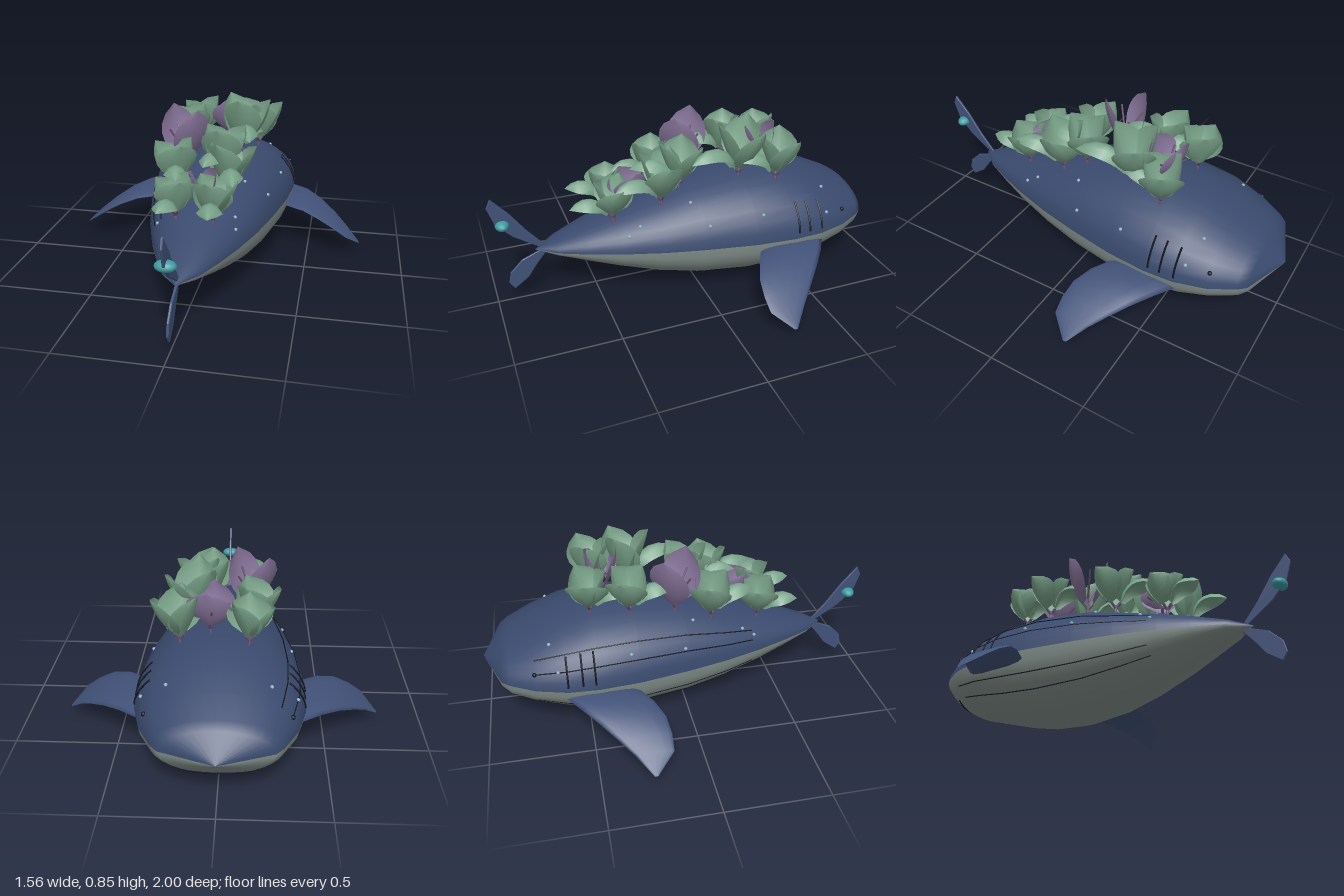
import * as THREE from 'three';

const mat = (color) => new THREE.MeshStandardMaterial({ color, side: THREE.DoubleSide });
const MAT = {
  back: mat(0x3a4a6e), belly: mat(0x84918d), fin: mat(0x425279), dark: mat(0x12141d),
  spot: mat(0x8fb4c4), lure: mat(0x3f9ba3), leaf: mat(0x7aa38a), petal: mat(0x86739a), stem: mat(0x6d5878),
};

// Body stations: z, half width, top y, bottom y
const STATIONS = [
  [-1, 0, 0.28, 0.28], [-0.91, 0.25, 0.39, 0.185], [-0.87, 0.285, 0.415, 0.135], [-0.75, 0.35, 0.47, 0.1],
  [-0.6, 0.39, 0.53, 0.055], [-0.45, 0.395, 0.56, 0.02], [-0.25, 0.375, 0.565, 0], [0, 0.325, 0.53, 0.015],
  [0.2, 0.275, 0.47, 0.06], [0.4, 0.21, 0.41, 0.125], [0.55, 0.15, 0.36, 0.18], [0.69, 0.085, 0.31, 0.23],
  [0.79, 0, 0.265, 0.26],
];

function station(z) {
  let i = 0;
  while (i < STATIONS.length - 2 && z > STATIONS[i + 1][0]) i++;
  const a = STATIONS[i], b = STATIONS[i + 1];
  const t = THREE.MathUtils.clamp((z - a[0]) / (b[0] - a[0]), 0, 1);
  const [, w, top, bottom] = a.map((v, k) => v + (b[k] - v) * t);
  return { w, top, bottom, mid: 0.271 - 0.009 * z };
}

// Point on the skin: angle 0 is the +x seam, PI/2 the spine
function skin(z, angle) {
  const s = station(z), up = Math.sin(angle);
  return new THREE.Vector3(s.w * Math.cos(angle), s.mid + up * (up > 0 ? s.top - s.mid : s.mid - s.bottom), z);
}

// Smooth surface through a grid of points fn(u index, v index)
function grid(nu, nv, fn) {
  const pos = [], index = [];
  for (let j = 0; j <= nv; j++) for (let i = 0; i <= nu; i++) pos.push(...fn(i, j).toArray());
  for (let j = 0; j < nv; j++) for (let i = 0; i < nu; i++) {
    const a = j * (nu + 1) + i, b = a + nu + 1;
    index.push(a, a + 1, b, a + 1, b + 1, b);
  }
  const g = new THREE.BufferGeometry();
  g.setAttribute('position', new THREE.Float32BufferAttribute(pos, 3));
  g.setIndex(index);
  g.computeVertexNormals();
  return g;
}

function add(parent, name, geometry, material) {
  const m = new THREE.Mesh(geometry, material);
  m.name = name;
  parent.add(m);
  return m;
}

const tube = (points, r, n) => new THREE.TubeGeometry(new THREE.CatmullRomCurve3(points), n, r, 5);

// Marking that follows the skin; fn(t) gives [z, angle]
function marking(parent, name, r, n, fn) {
  const pts = [];
  for (let i = 0; i <= n; i++) pts.push(skin(...fn(i / n)));
  add(parent, name, tube(pts, r, n * 2), MAT.dark);
}

// Pectoral fin stations: x, y, leading z, trailing z, half thickness
const FIN = [
  [0.32, 0.225, -0.64, -0.32, 0.022], [0.38, 0.232, -0.61, -0.26, 0.022], [0.47, 0.23, -0.55, -0.21, 0.022],
  [0.56, 0.203, -0.475, -0.168, 0.019], [0.64, 0.16, -0.4, -0.155, 0.015], [0.705, 0.115, -0.335, -0.158, 0.01],
  [0.778, 0.05, -0.265, -0.245, 0.004],
];
function finGeometry(side) {
  const n = 12;
  return grid(n, FIN.length - 1, (i, j) => {
    const [x, y, z0, z1, t] = FIN[j];
    const a = (side * i * 2 * Math.PI) / n;
    return new THREE.Vector3(side * x, y - Math.sin(a) * t, (z0 + z1) / 2 + (Math.cos(a) * (z1 - z0)) / 2);
  });
}

// Tail lobe drawn in (z, y), extruded thin along x
function lobe(outline) {
  const s = new THREE.Shape(outline.map((p) => new THREE.Vector2(...p)));
  const g = new THREE.ExtrudeGeometry(s, {
    depth: 0.006, bevelEnabled: true, bevelSize: 0.003, bevelThickness: 0.003, bevelSegments: 1,
  });
  return g.translate(0, 0, -0.003).rotateY(-Math.PI / 2);
}

// Cupped leaf that rises along +x, bends from start to end pitch and tapers to a point
function leafGeometry(length, width, startPitch, endPitch, cup) {
  const n = 6, path = [[0, 0, startPitch]];
  for (let j = 0; j < n; j++) {
    const p = startPitch + ((endPitch - startPitch) * (j + 0.5)) / n, [x, y] = path[j];
    path.push([x + (Math.cos(p) * length) / n, y + (Math.sin(p) * length) / n, p]);
  }
  return grid(4, n, (i, j) => {
    const s = i / 2 - 1, t = j / n, [x, y, p] = path[j];
    const w = width * Math.pow(Math.sin(Math.PI * Math.min(1, 0.06 + 0.94 * t)), 0.65);
    const lift = cup * w * s * s;
    return new THREE.Vector3(x - Math.sin(p) * lift, y + Math.cos(p) * lift, s * w);
  });
}

// Leafy plants: x, z, top y, yaw of the first leaf
const LEAFY = [
  [-0.13, -0.46, 0.77, 2.7], [0.19, -0.42, 0.78, 0.3], [0.13, -0.24, 0.84, 0.4], [-0.16, -0.27, 0.77, 2.9],
  [0.07, 0.06, 0.76, 0.5], [-0.15, 0.14, 0.7, 2.8], [0.12, 0.17, 0.73, 0.2], [-0.09, 0.4, 0.61, 2.9],
  [0.09, 0.41, 0.62, 0.3],
];
// Flowers: x, z, top y, yaw
const FLOWERS = [[0.05, -0.38, 0.79, 1.4], [-0.14, -0.04, 0.82, 2.4], [0.02, 0.31, 0.62, 0.4]];

export function createModel() {
  const model = new THREE.Group();
  model.name = 'whaleWithGarden';

  // Body in two halves that meet at the side seam
  const half = (from) => grid(16, STATIONS.length - 1, (i, j) => skin(STATIONS[j][0], from + (i * Math.PI) / 16));
  add(model, 'upperBody', half(0), MAT.back);
  add(model, 'belly', half(Math.PI), MAT.belly);

  // Fins, gills, eyes and spots on both sides
  const spots = [[-0.67, 0.9], [-0.64, 0.4], [-0.29, 0.5], [-0.02, 0.45], [0.04, 0.95], [0.3, 0.75], [0.36, 0.55]];
  for (const side of [1, -1]) {
    const turn = (a) => (side > 0 ? a : Math.PI - a);
    add(model, 'pectoralFin', finGeometry(side), MAT.fin);
    for (const z of [-0.47, -0.53, -0.6])
      marking(model, 'gillSlit', 0.005, 6, (t) => [z, turn(0.1 + 0.55 * t)]);
    add(model, 'eye', new THREE.SphereGeometry(0.011, 10, 8), MAT.dark).position.copy(skin(-0.75, turn(0.4)));
    for (const [z, a] of spots)
      add(model, 'spot', new THREE.SphereGeometry(0.009, 8, 6), MAT.spot).position.copy(skin(z, turn(a)));
  }

  // Mouth, and long scars on the right flank
  marking(model, 'mouth', 0.005, 12, (t) => [-0.885 + 0.045 * (2 * t - 1) ** 2, -Math.PI / 2 + 0.85 * (2 * t - 1)]);
  for (const a of [0.4, 0.68, -0.4, -0.7])
    marking(model, 'scar', 0.003, 22, (t) => [-0.75 + 1.1 * t, Math.PI - a]);

  // Upright tail with a glowing bulb
  add(model, 'upperTailLobe', lobe([[0.73, 0.265], [0.82, 0.37], [0.9, 0.485], [0.975, 0.572], [0.994, 0.53],
    [0.965, 0.44], [0.89, 0.36], [0.75, 0.265]]), MAT.fin);
  add(model, 'lowerTailLobe', lobe([[0.73, 0.27], [0.86, 0.215], [0.92, 0.155], [0.933, 0.1], [0.91, 0.065],
    [0.84, 0.115], [0.79, 0.185], [0.74, 0.245]]), MAT.fin);
  const bulb = add(model, 'tailBulb', new THREE.SphereGeometry(1, 16, 10), MAT.lure);
  bulb.scale.set(0.048, 0.026, 0.034);
  bulb.position.set(0, 0.43, 0.935);

  // Garden along the spine
  let seed = 7;
  const rnd = () => (seed = (seed * 16807) % 2147483647) / 2147483647;
  const plantAt = (name, x, z, top) => {
    const s = station(z);
    const plant = new THREE.Group();
    plant.name = name;
    plant.position.set(x, s.mid + (s.top - s.mid) * Math.sqrt(1 - (x / s.w) ** 2), z);
    model.add(plant);
    return { plant, rise: top - plant.position.y - 0.05 };
  };
  // Blade on a short stem, pointing along yaw
  const blade = (plant, name, geometry, material, yaw) => {
    const foot = new THREE.Vector3(Math.cos(yaw) * 0.025, 0.05, -Math.sin(yaw) * 0.025);
    const leaf = add(plant, name, geometry, material);
    leaf.position.copy(foot);
    leaf.rotation.y = yaw;
    add(plant, 'stem', tube([new THREE.Vector3(0, -0.02, 0), new THREE.Vector3(0, 0.02, 0), foot], 0.007, 4), MAT.stem);
  };

  for (const [x, z, top, yaw] of LEAFY) {
    const { plant, rise } = plantAt('leafyPlant', x, z, top);
    // Broad upright leaves, cupped towards the middle
    for (const [turn, lean] of [[0, 0.75], [2.2, 1.1], [4.2, 1.1]])
      blade(plant, 'uprightLeaf', leafGeometry(rise * (1.02 + 0.1 * rnd()), 0.105, lean, 1.35, 0.5), MAT.leaf,
        yaw + turn + (rnd() - 0.5) * 0.5);
    // Folded leaf arching over towards the tail
    blade(plant, 'archingLeaf', leafGeometry(rise * 1.45, 0.06, 1.5, -0.9, -0.8), MAT.leaf,
      -Math.PI / 2 + (rnd() - 0.5) * 0.6);
  }

  for (const [x, z, top, yaw] of FLOWERS) {
    const { plant, rise } = plantAt('flower', x, z, top);
    for (const turn of [0, Math.PI])
      blade(plant, 'petal', leafGeometry(rise * 1.08, 0.11, 0.95, 1.6, 0.3), MAT.petal, yaw + turn);
    // Thin stamens
    for (let k = 0; k < 4; k++) {
      const a = yaw + k * 1.6;
      const tip = new THREE.Vector3(Math.cos(a) * 0.09, rise * 0.8, Math.sin(a) * 0.09);
      add(plant, 'stamen', tube([new THREE.Vector3(), new THREE.Vector3(0, 0.06, 0), tip], 0.005, 5), MAT.stem);
    }
  }
  return model;
}
